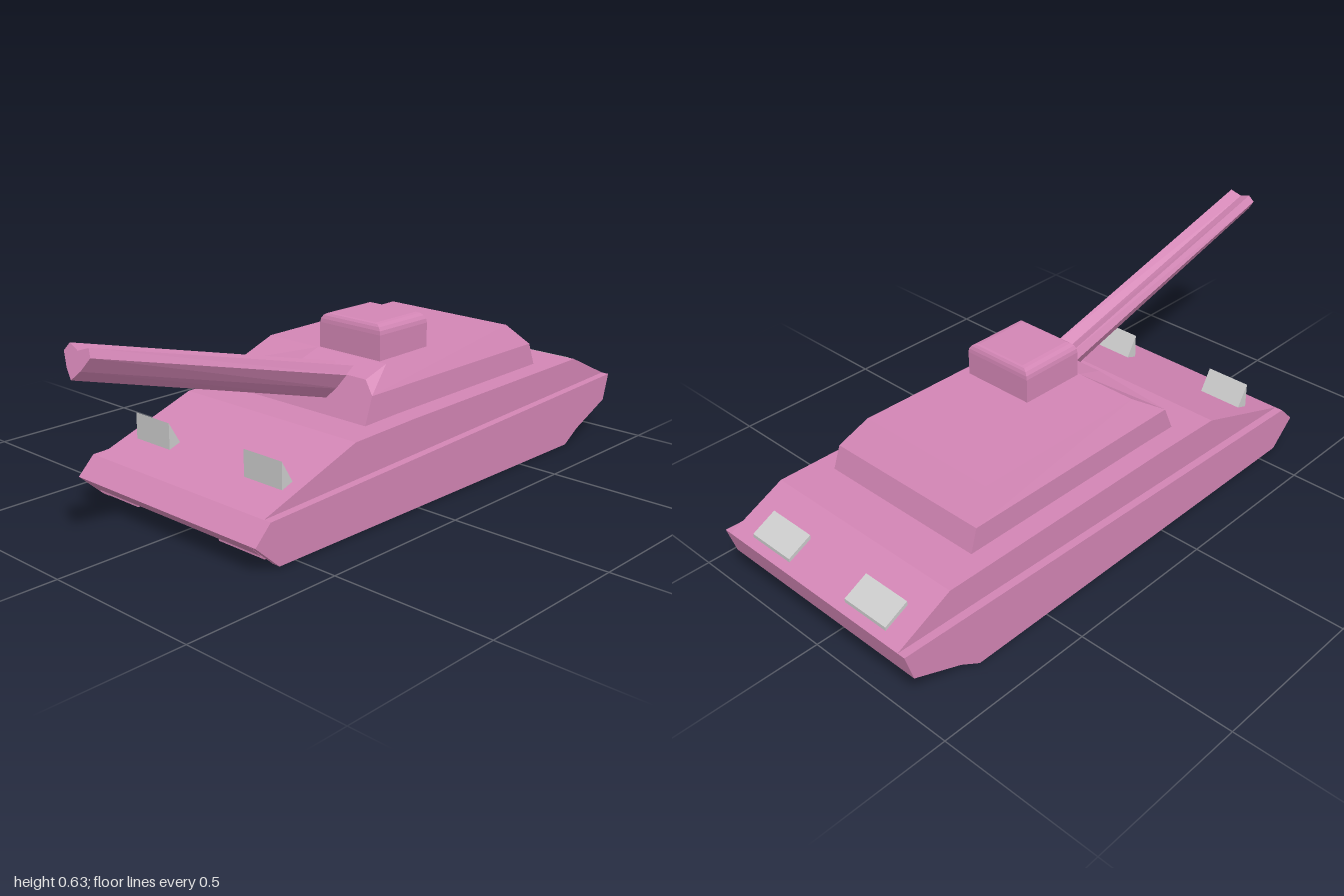
import * as THREE from 'three';

const paint = new THREE.MeshStandardMaterial({ color: 0xd285b4, flatShading: true });
const grey = new THREE.MeshStandardMaterial({ color: 0xcccccc, flatShading: true });

// Side profile of [z, y] points, extruded across x and centred on cx
function sideExtrude(name, profile, width, cx, material) {
  const shape = new THREE.Shape(profile.map(([z, y]) => new THREE.Vector2(z, y)));
  const geo = new THREE.ExtrudeGeometry(shape, { depth: width, bevelEnabled: false });
  geo.rotateY(-Math.PI / 2);
  geo.translate(cx + width / 2, 0, 0);
  const mesh = new THREE.Mesh(geo, material);
  mesh.name = name;
  return mesh;
}

// Closed skin through rings that run counter-clockwise about the direction of travel
function loft(name, rings, material) {
  const n = rings[0].length, last = (rings.length - 1) * n, index = [];
  for (let i = 0; i < rings.length - 1; i++) {
    for (let j = 0; j < n; j++) {
      const a = i * n + j, b = i * n + (j + 1) % n;
      index.push(a, b, b + n, a, b + n, a + n);
    }
  }
  for (let j = 1; j < n - 1; j++) index.push(0, j + 1, j, last, last + j, last + j + 1);
  const geo = new THREE.BufferGeometry();
  geo.setAttribute('position', new THREE.Float32BufferAttribute(rings.flat(2), 3));
  geo.setIndex(index);
  const flat = geo.toNonIndexed();
  flat.computeVertexNormals();
  const mesh = new THREE.Mesh(flat, material);
  mesh.name = name;
  return mesh;
}

export function createModel() {
  const model = new THREE.Group();
  model.name = 'tank';

  // Hull: sloped upper body, lower body between the skirts
  model.add(sideExtrude('upperHull',
    [[0.6, 0.14], [-1, 0.19], [-0.82, 0.275], [0, 0.267], [0.25, 0.26]], 0.69, 0, paint));
  model.add(sideExtrude('lowerHull',
    [[0.655, 0.085], [0.6, 0.14], [-1, 0.19], [-0.975, 0.105], [-0.82, 0.042], [0.61, 0.042]], 0.69, 0, paint));

  for (const s of [1, -1]) {
    const side = s > 0 ? 'left' : 'right';
    // Side skirts reach the ground
    model.add(sideExtrude(side + 'Skirt',
      [[0.655, 0.085], [0.6, 0.14], [-1, 0.19], [-0.975, 0.105], [-0.82, 0.04], [-0.755, 0], [0.57, 0.008]],
      0.025, s * 0.3575, paint));
    // Shallow track pads under the belly
    model.add(sideExtrude(side + 'TrackPad',
      [[0.6, 0.03], [0.6, 0.05], [-0.8, 0.05], [-0.8, 0.03]], 0.175, s * 0.2575, paint));
    // Wedge headlights on the sloping front
    model.add(sideExtrude(side + 'Headlight',
      [[0.49, 0.174], [0.49, 0.258], [0.45, 0.19]], 0.146, s * 0.228, grey));
    // Flat grilles on the rear slope
    model.add(sideExtrude(side + 'RearGrille',
      [[-0.9, 0.232], [-0.9, 0.25], [-0.975, 0.213], [-0.975, 0.195]], 0.158, s * 0.194, grey));
  }

  // Turret with a raised, chamfered front
  model.add(loft('turret', [
    [[-0.28, 0.255, 0.142], [-0.035, 0.255, 0.142], [0.235, 0.255, 0.142],
      [0.28, 0.255, 0.142], [0.28, 0.255, -0.69], [-0.28, 0.255, -0.69]],
    [[-0.279, 0.34, 0.105], [-0.035, 0.38, 0.088], [0.235, 0.38, 0.088],
      [0.274, 0.343, 0.104], [0.274, 0.345, -0.662], [-0.279, 0.345, -0.662]],
    [[-0.238, 0.408, 0], [-0.035, 0.408, 0], [0.2, 0.408, 0],
      [0.235, 0.408, 0], [0.235, 0.415, -0.585], [-0.238, 0.415, -0.585]],
  ], paint));

  // Hatch: rectangular rings with a rounded top edge
  const hatchRing = (y, dx, dz) => [
    [-0.033 + dx, y, -0.007 - dz], [0.205 - dx, y, -0.007 - dz],
    [0.205 - dx, y, -0.22 + dz], [-0.033 + dx, y, -0.22 + dz]];
  const hatch = [hatchRing(0.4, 0, 0)];
  for (let i = 0; i <= 4; i++) {
    const a = i * Math.PI / 8, inset = 1 - Math.cos(a);
    hatch.push(hatchRing(0.485 + 0.031 * Math.sin(a), 0.031 * inset, 0.016 * inset));
  }
  model.add(loft('hatch', hatch, paint));

  // Raised gun barrel with a notched top and keeled underside
  const section = [[0.11, 0.552], [0.137, 0.577], [0.162, 0.612], [0.147, 0.633],
    [0.11, 0.62], [0.073, 0.633], [0.058, 0.612], [0.083, 0.577]];
  const muzzle = section.map(([x, y]) => [x, y, 1 - (y - 0.552) * 0.36]);
  const breech = muzzle.map(([x, y, z]) => [x, y - 0.25 - 0.25 * (0.62 - y), z - 0.96]);
  model.add(loft('gunBarrel', [breech, muzzle], paint));

  return model;
}
